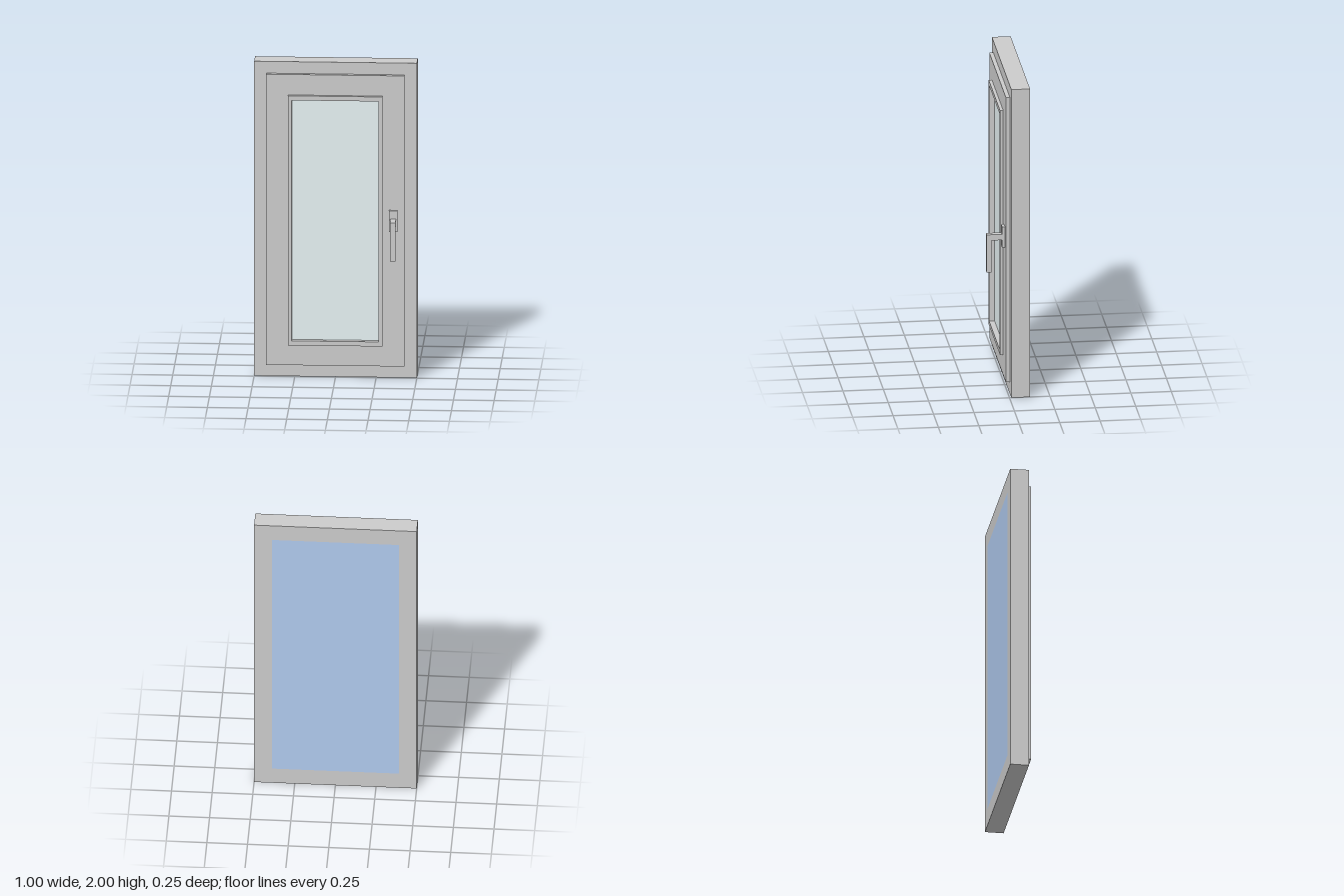
import * as THREE from 'three';

const grey = new THREE.MeshStandardMaterial({ color: 0xcccccc, flatShading: true });
const glass = new THREE.MeshStandardMaterial({ color: 0xe6f2f3 });
const backGlass = new THREE.MeshStandardMaterial({ color: 0xb0caee });

// Rectangles are [x0, y0, x1, y1]
function trace(target, [x0, y0, x1, y1]) {
  target.moveTo(x0, y0);
  target.lineTo(x1, y0);
  target.lineTo(x1, y1);
  target.lineTo(x0, y1);
  target.closePath();
  return target;
}

// Rectangular ring running from z0 to z1
function ring(name, outer, inner, z0, z1) {
  const shape = trace(new THREE.Shape(), outer);
  shape.holes.push(trace(new THREE.Path(), inner));
  const geometry = new THREE.ExtrudeGeometry(shape, { depth: z1 - z0, bevelEnabled: false });
  const mesh = new THREE.Mesh(geometry.translate(0, 0, z0), grey);
  mesh.name = name;
  return mesh;
}

// Box given by its rectangle and its z range
function block(name, [x0, y0, x1, y1], z0, z1, material = grey) {
  const mesh = new THREE.Mesh(new THREE.BoxGeometry(x1 - x0, y1 - y0, z1 - z0), material);
  mesh.position.set((x0 + x1) / 2, (y0 + y1) / 2, (z0 + z1) / 2);
  mesh.name = name;
  return mesh;
}

export function createModel() {
  const window = new THREE.Group();
  window.name = 'window';

  const backOpening = [-0.39, 0.11, 0.39, 1.89];
  const frontOpening = [-0.267, 0.237, 0.267, 1.766];

  // Fixed frame, opening sash and glazing bead, stepped towards the front
  window.add(
    ring('outerFrame', [-0.5, 0, 0.5, 2], backOpening, -0.127, -0.011),
    ring('sash', [-0.425, 0.077, 0.425, 1.925], frontOpening, -0.011, 0.014),
    ring('glazingBead', [-0.29, 0.208, 0.29, 1.795], frontOpening, 0.014, 0.034),
  );

  // Panes: recessed in front, flush with the frame at the back
  window.add(
    block('frontGlass', frontOpening, -0.011, 0, glass),
    block('backGlass', backOpening, -0.127, -0.107, backGlass),
  );

  // Handle: mounting plate, neck and hanging grip
  const handle = new THREE.Group();
  handle.name = 'handle';
  handle.add(
    block('handlePlate', [0.331, 0.936, 0.383, 1.07], 0.014, 0.032),
    block('handleNeck', [0.339, 0.982, 0.374, 1.02], 0.032, 0.098),
    block('handleGrip', [0.342, 0.776, 0.375, 1.02], 0.098, 0.127),
  );
  window.add(handle);

  return window;
}
